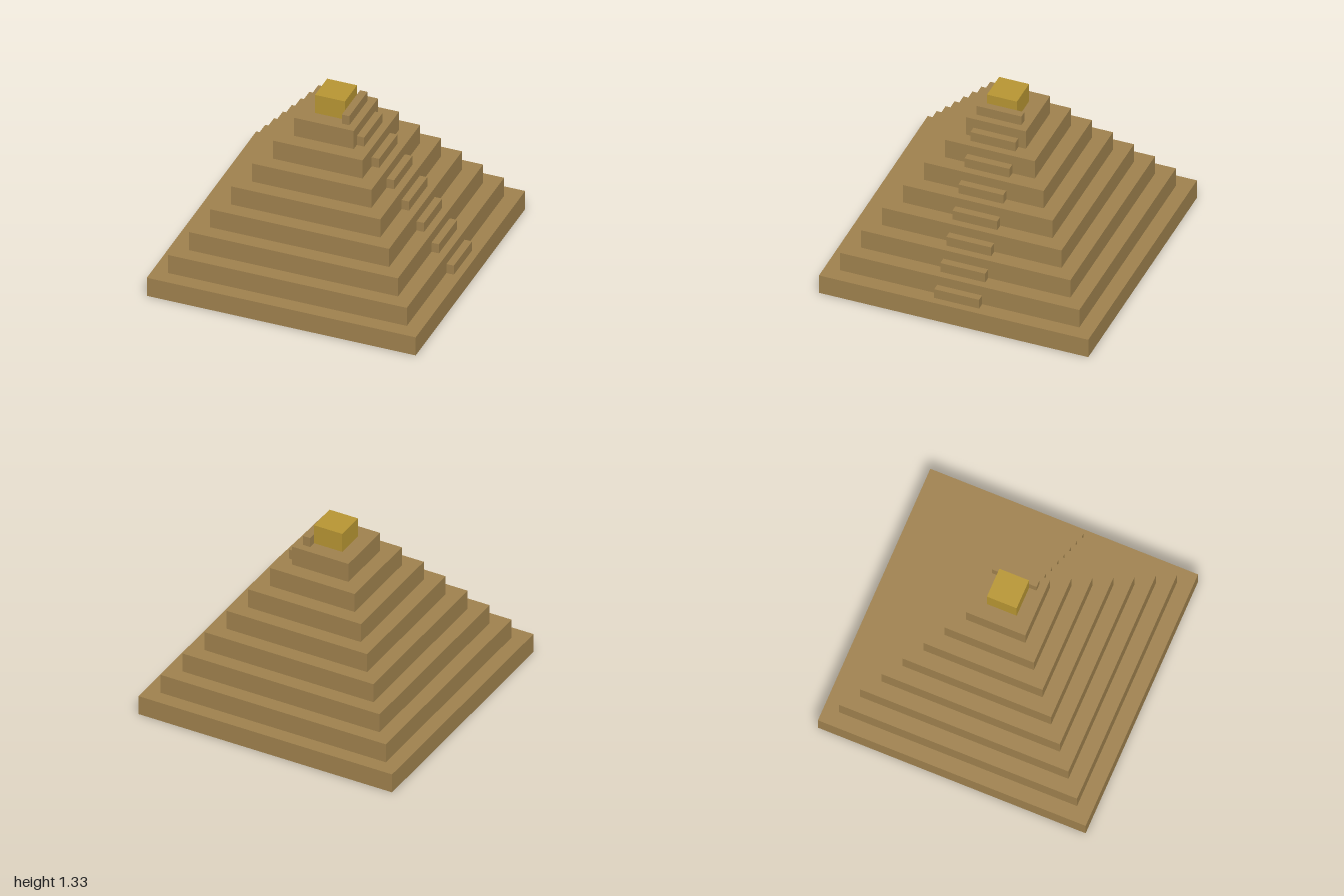
import * as THREE from 'three';

const TIERS = 8;          // stone tiers below the cap
const RUN = 1 / 9;        // tread depth
const RISE = 4 / 27;      // tier height

const stone = new THREE.MeshStandardMaterial({ color: 0xa0824e, side: THREE.DoubleSide });
stone.name = 'sandstone';
const gold = new THREE.MeshStandardMaterial({ color: 0xb89633, side: THREE.DoubleSide });
gold.name = 'gold';

// Square hollow shell: a four-sided lathe of [half width, height] points, with hard edges
function squareShell(profile, material, name) {
  const points = profile.map(([half, y]) => new THREE.Vector2(half * Math.SQRT2, y));
  const geometry = new THREE.LatheGeometry(points, 4, Math.PI / 4).toNonIndexed();
  geometry.computeVertexNormals();
  const mesh = new THREE.Mesh(geometry, material);
  mesh.name = name;
  return mesh;
}

export function createModel() {
  const pyramid = new THREE.Group();
  pyramid.name = 'steppedPyramid';

  // Tiers: each one a riser and a tread, open underneath
  for (let i = 0; i < TIERS; i++) {
    const half = 1 - i * RUN;
    const top = (i + 1) * RISE;
    pyramid.add(squareShell(
      [[half, i * RISE], [half, top], [half - RUN, top]], stone, `tier${i + 1}`));
  }

  // Golden cap
  const capBase = TIERS * RISE;
  pyramid.add(squareShell(
    [[RUN, capBase], [RUN, capBase + RISE], [0, capBase + RISE]], gold, 'cap'));

  // Stairway on the left side: one half-height step on every tread
  const stairs = new THREE.Group();
  stairs.name = 'stairway';
  const stepGeometry = new THREE.BoxGeometry(RUN / 2, RISE / 2, RUN * 3);
  for (let i = 1; i <= TIERS; i++) {
    const step = new THREE.Mesh(stepGeometry, stone);
    step.name = `stairStep${i}`;
    step.position.set(1 - i * RUN + RUN / 4, i * RISE + RISE / 4, 0);
    stairs.add(step);
  }
  pyramid.add(stairs);

  return pyramid;
}
